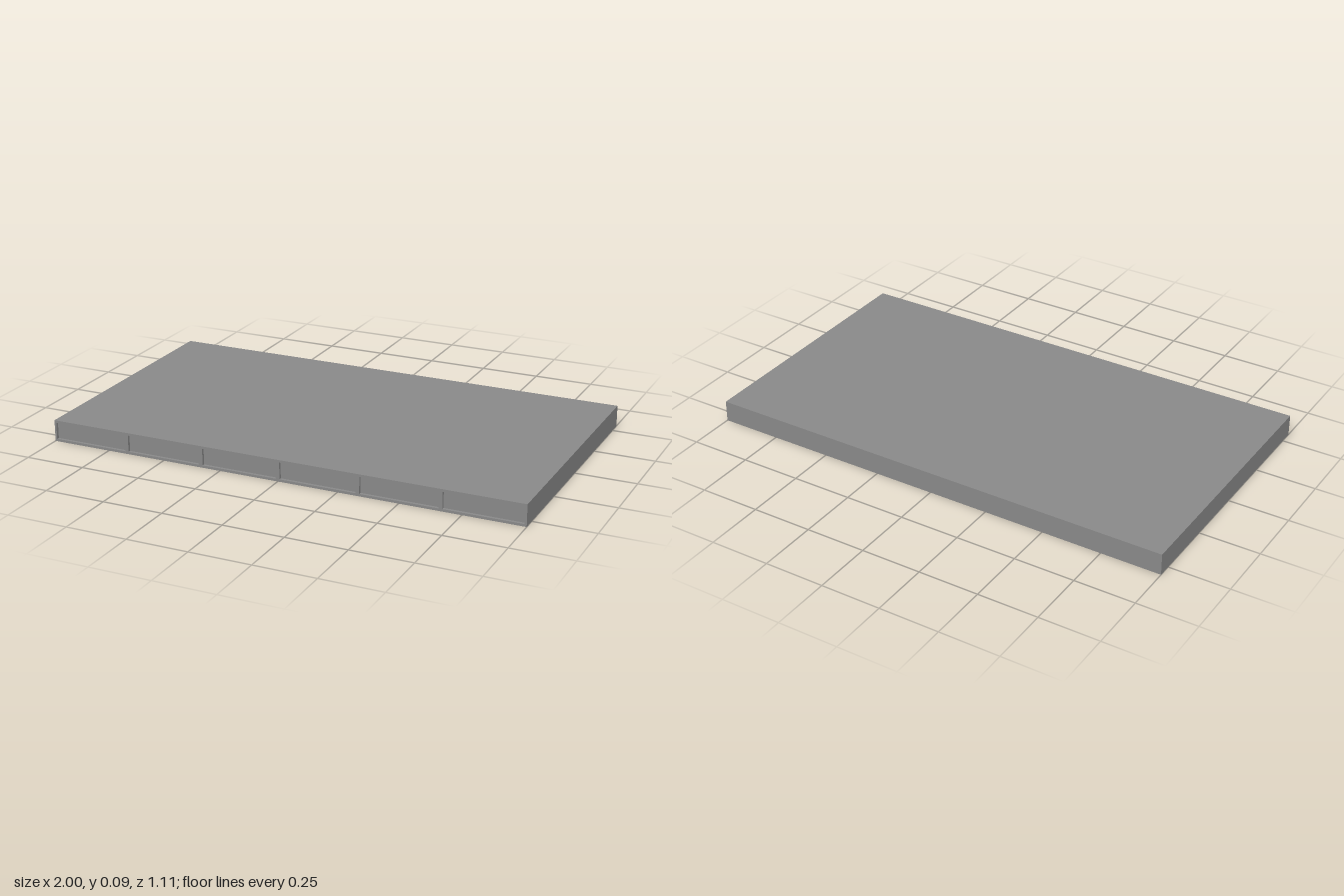
import * as THREE from 'three';

const W = 2, H = 0.089, D = 1.11;         // overall size
const FRONT = 0.012, BOTTOM = 0.008;      // recess depths
const GAP = 0.015, EDGE = 0.008;          // rib width and outer rim

function rectangle(Type, x0, y0, x1, y1) {
  const r = new Type();
  r.moveTo(x0, y0);
  r.lineTo(x1, y0);
  r.lineTo(x1, y1);
  r.lineTo(x0, y1);
  r.closePath();
  return r;
}

// Start and end of n equal cells between a and b, separated by ribs
function cells(n, a, b) {
  const size = (b - a - GAP * (n - 1)) / n;
  return Array.from({ length: n }, (_, i) => {
    const start = a + i * (size + GAP);
    return [start, start + size];
  });
}

// Flat lattice with rectangular openings
function lattice(x0, y0, x1, y1, columns, rows, rim, depth) {
  const shape = rectangle(THREE.Shape, x0, y0, x1, y1);
  for (const [u0, u1] of cells(columns, x0 + EDGE, x1 - EDGE))
    for (const [v0, v1] of cells(rows, y0 + rim, y1 - rim))
      shape.holes.push(rectangle(THREE.Path, u0, v0, u1, v1));
  return new THREE.ExtrudeGeometry(shape, { depth, bevelEnabled: false });
}

export function createModel() {
  const group = new THREE.Group();
  const material = new THREE.MeshStandardMaterial({ color: 0x888888 });
  const add = (name, geometry) => {
    const mesh = new THREE.Mesh(geometry, material);
    mesh.name = name;
    group.add(mesh);
  };

  // Solid slab behind the recessed panels
  const slab = new THREE.BoxGeometry(W, H - BOTTOM, D - FRONT);
  slab.translate(0, (H + BOTTOM) / 2, -FRONT / 2);
  add('slab', slab);

  // Front rim with six shallow recesses
  const front = lattice(-W / 2, 0, W / 2, H, 6, 1, 0.01, FRONT);
  front.translate(0, 0, D / 2 - FRONT);
  add('frontFrame', front);

  // Ribbed underside with a six by six grid of recesses
  const bottom = lattice(-W / 2, -D / 2, W / 2, D / 2 - FRONT, 6, 6, EDGE, BOTTOM);
  bottom.rotateX(Math.PI / 2);
  bottom.translate(0, BOTTOM, 0);
  add('undersideGrid', bottom);

  return group;
}
